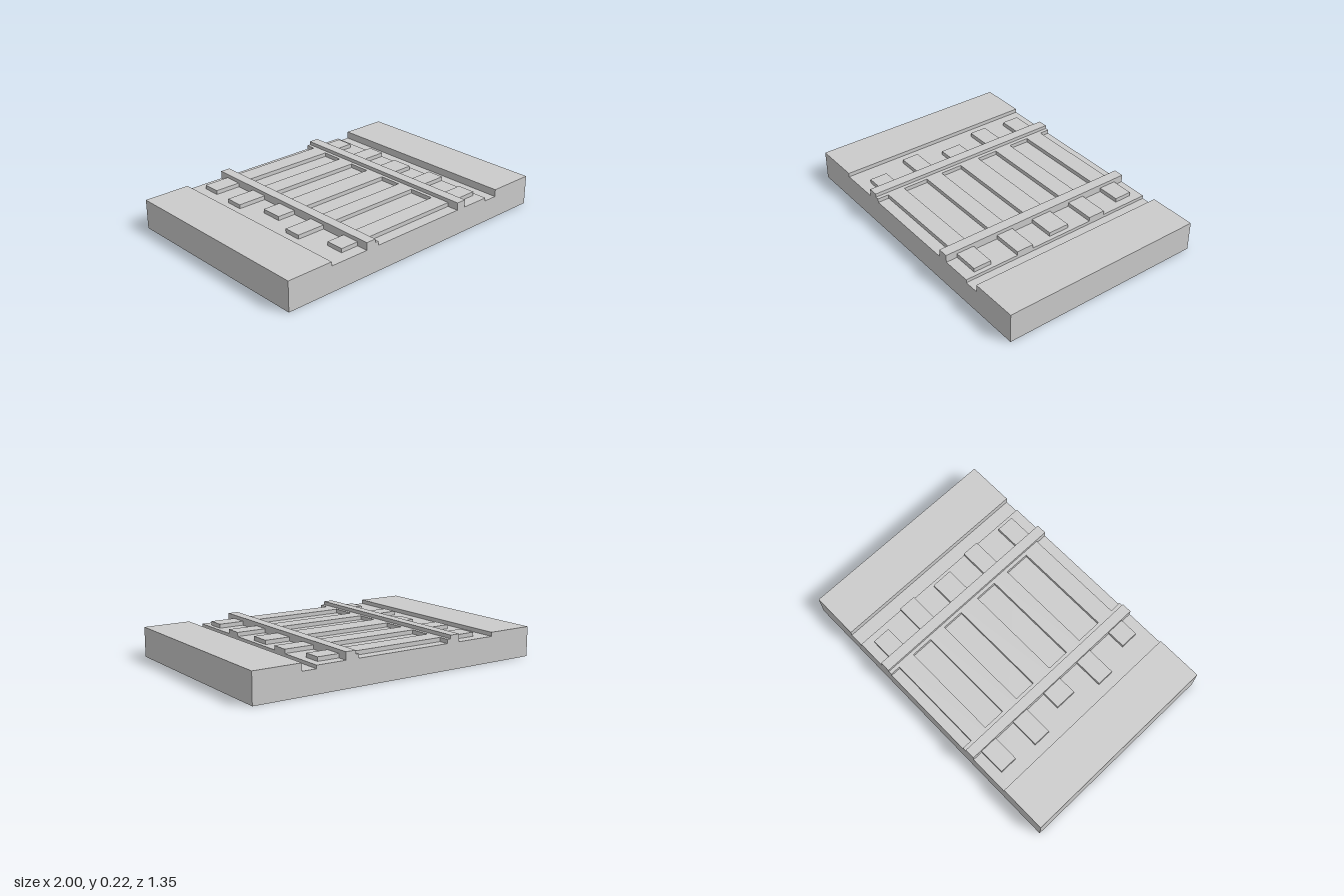
import * as THREE from 'three';

const DEPTH = 1.354, END = DEPTH / 2;
const BED = 0.166, TOP = 0.192, RAIL_TOP = 0.215, DITCH = 0.145;

export function createModel() {
  const model = new THREE.Group();
  const material = new THREE.MeshStandardMaterial({ color: 0xcccccc, flatShading: true });

  // Box given by its limits on each axis
  function block(name, x0, x1, y0, y1, z0, z1) {
    const mesh = new THREE.Mesh(new THREE.BoxGeometry(x1 - x0, y1 - y0, z1 - z0), material);
    mesh.position.set((x0 + x1) / 2, (y0 + y1) / 2, (z0 + z1) / 2);
    mesh.name = name;
    model.add(mesh);
  }

  // Ground slab: raised shoulders, shallow track bed and a drainage ditch
  const profile = new THREE.Shape([
    [-1, 0], [1, 0], [1, TOP], [0.69, TOP], [0.69, DITCH], [0.595, DITCH],
    [0.595, BED], [-0.692, BED], [-0.692, TOP], [-1, TOP],
  ].map(([x, y]) => new THREE.Vector2(x, y)));
  const ground = new THREE.Mesh(
    new THREE.ExtrudeGeometry(profile, { depth: DEPTH, bevelEnabled: false }), material);
  ground.position.z = -END;
  ground.name = 'ground';
  model.add(ground);

  // Rails
  block('rightRail', -0.428, -0.362, BED, RAIL_TOP, -END, END);
  block('leftRail', 0.333, 0.4, BED, RAIL_TOP, -END, END);

  // Sleepers of uneven length: x start, x end, z start, z end
  const sleepers = [
    [-0.6, 0.545, -0.61, -0.493],
    [-0.62, 0.595, -0.348, -0.232],
    [-0.55, 0.567, -0.087, 0.053],
    [-0.62, 0.595, 0.202, 0.315],
    [-0.55, 0.567, 0.485, 0.602],
  ];
  for (const [x0, x1, z0, z1] of sleepers) block('sleeper', x0, x1, BED, TOP, z0, z1);

  // Ledges along the inside of the rails, filling the gaps between sleepers
  for (let i = 0; i <= sleepers.length; i++) {
    const z0 = i === 0 ? -END : sleepers[i - 1][3];
    const z1 = i === sleepers.length ? END : sleepers[i][2];
    block('rightLedge', -0.362, -0.337, BED, TOP, z0, z1);
    if (i < sleepers.length) block('leftLedge', 0.31, 0.333, BED, TOP, z0, z1);
  }

  return model;
}
